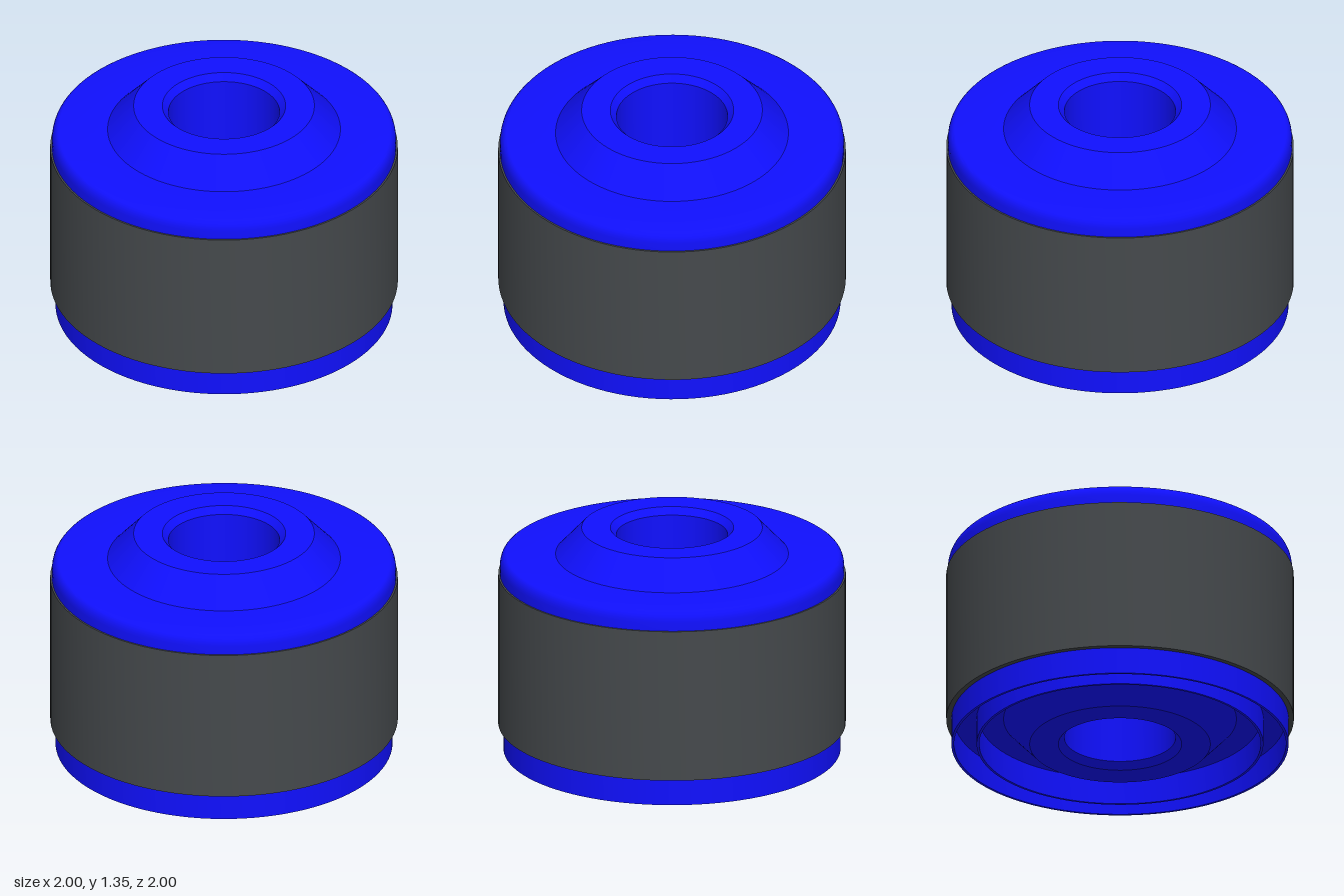
import * as THREE from 'three';
import { toCreasedNormals } from 'three/addons/utils/BufferGeometryUtils.js';

const SEGMENTS = 96;

// Revolve a [radius, y] profile, listed up the outside and down the inside
function turned(name, profile, color) {
  const points = profile.map(([r, y]) => new THREE.Vector2(r, y));
  const geometry = toCreasedNormals(new THREE.LatheGeometry(points, SEGMENTS), Math.PI / 6);
  const mesh = new THREE.Mesh(geometry, new THREE.MeshStandardMaterial({ color }));
  mesh.name = name;
  return mesh;
}

// Points along a rounded outer top edge
function roundedEdge(r, y, rx, ry, steps = 6) {
  return Array.from({ length: steps + 1 }, (_, i) => {
    const a = (i / steps) * Math.PI / 2;
    return [r - rx + rx * Math.cos(a), y - ry + ry * Math.sin(a)];
  });
}

export function createModel() {
  const group = new THREE.Group();
  group.name = 'bushing';

  const floor = 0.16;
  const core = [
    // lower skirt and the shaft hidden by the sleeve
    [0.97, 0], [0.97, 1.07],
    // upper flange with rounded edge
    [0.99, 1.07], ...roundedEdge(0.99, 1.19, 0.04, 0.07),
    // upper conical hub
    [0.67, 1.19], [0.52, 1.35], [0.355, 1.35],
    // chamfered through bore
    [0.32, 1.31], [0.32, 0.04], [0.355, 0],
    // lower conical hub
    [0.52, 0], [0.67, floor],
    // inner lip, with a groove between it and the skirt
    [0.81, floor], [0.81, 0], [0.825, 0], [0.825, floor],
    [0.955, floor], [0.955, 0], [0.97, 0],
  ];
  group.add(turned('core', core, 0x1010ff));

  // Outer sleeve around the core
  const sleeve = [[0.97, 0.16], [1, 0.16], [1, 1.07], [0.97, 1.07]];
  group.add(turned('sleeve', sleeve, 0x45494c));

  return group;
}
